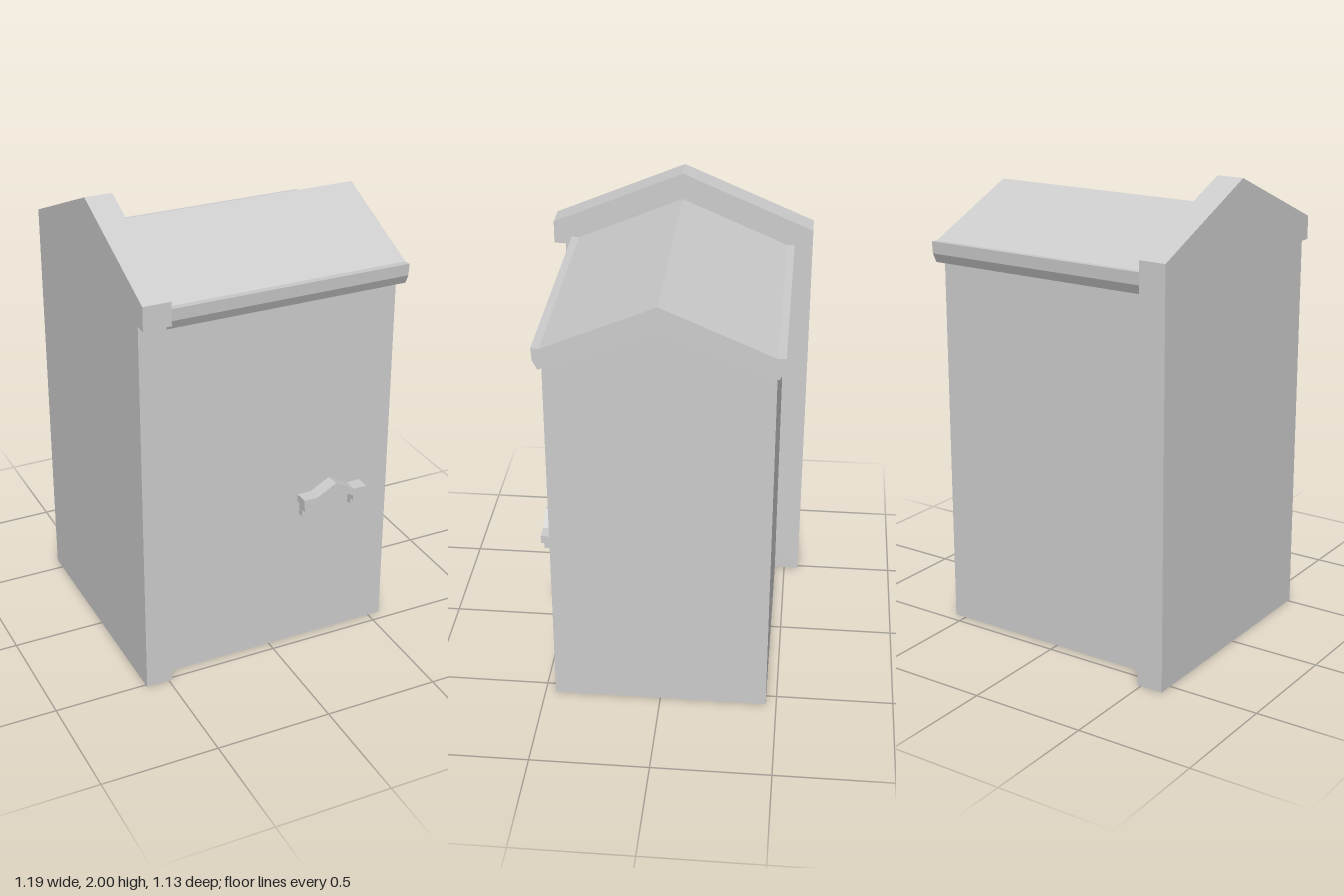
import * as THREE from 'three';

const grey = new THREE.MeshStandardMaterial({ color: 0xcccccc, side: THREE.DoubleSide });
grey.name = 'plain grey';

// Shape from [z, y] points, to be turned so that it faces +x
const sideShape = (pts) => new THREE.Shape(pts.map(([z, y]) => new THREE.Vector2(-z, y)));

// Solid with a [z, y] outline running from x0 to x1
function alongX(pts, x0, x1) {
  return new THREE.ExtrudeGeometry(sideShape(pts), { depth: x1 - x0, bevelEnabled: false })
    .rotateY(Math.PI / 2).translate(x0, 0, 0);
}

export function createModel() {
  const group = new THREE.Group();
  const add = (name, geometry, parent = group) => {
    const mesh = new THREE.Mesh(geometry, grey);
    mesh.name = name;
    parent.add(mesh);
    return mesh;
  };

  const X0 = -0.483, X1 = 0.555, Z = 0.455, EAVE = 1.6;

  // Tall gabled slab at the left end, with a ledge at the front
  add('endWall', alongX([
    [0.515, 0], [-0.565, 0], [-0.565, 1.76], [0, 2], [0.565, 1.76], [0.565, 1.66], [0.515, 1.66],
  ], -0.6, X0));

  // Hollow body, open underneath
  const body = new THREE.Group();
  body.name = 'body';
  group.add(body);
  for (const side of [1, -1]) {
    const wall = new THREE.PlaneGeometry(X1 - X0, EAVE);
    if (side < 0) wall.rotateY(Math.PI);
    wall.translate((X0 + X1) / 2, EAVE / 2, side * Z);
    add(side > 0 ? 'frontWall' : 'backWall', wall, body);
  }
  const gable = new THREE.ShapeGeometry(sideShape([[Z, 0], [-Z, 0], [-Z, EAVE], [0, 1.79], [Z, EAVE]]));
  add('gableWall', gable.rotateY(Math.PI / 2).translate(X1, 0, 0), body);

  // Folded roof with thick rolled eaves
  const half = [[0.455, 1.69], [0.487, 1.692], [0.483, 1.64], [0.463, EAVE]];
  const mirrored = half.map(([z, y]) => [-z, y]).reverse();
  add('roof', alongX([[0, 1.885], ...half, [0, 1.79], ...mirrored], X0, 0.595));

  // Bent handle bar on stepped brackets
  const handle = new THREE.Group();
  handle.name = 'handle';
  handle.position.set(0.276, 0, Z);
  group.add(handle);
  const bar = new THREE.Shape([
    [-0.148, 0.685], [-0.09, 0.685], [0, 0.735], [0.09, 0.685], [0.148, 0.685],
    [0.148, 0.72], [0.087, 0.72], [0, 0.768], [-0.087, 0.72], [-0.148, 0.72],
  ].map(([x, y]) => new THREE.Vector2(x, y)));
  add('handleBar', new THREE.ExtrudeGeometry(bar, { depth: 0.06, bevelEnabled: false }), handle);
  const bracket = [[0, 0.625], [0.025, 0.625], [0.025, 0.655], [0.048, 0.655], [0.048, 0.685], [0, 0.685]];
  for (const side of [1, -1]) {
    add('handleBracket', alongX(bracket, side * 0.116 - 0.023, side * 0.116 + 0.023), handle);
  }

  return group;
}
